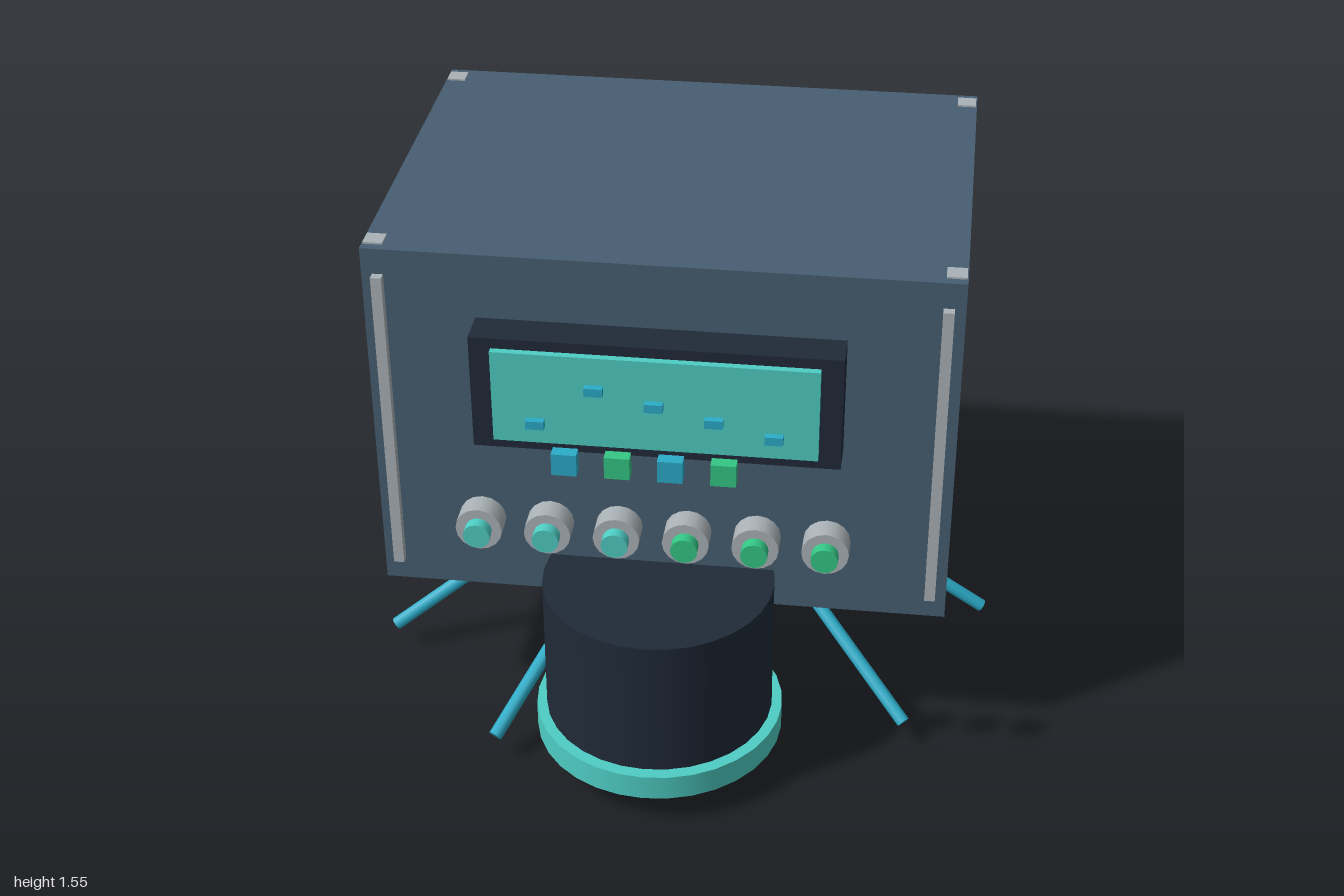
import * as THREE from 'three';

const paint = (name, color) => {
  const m = new THREE.MeshStandardMaterial({ color });
  m.name = name;
  return m;
};

export function createModel() {
  const model = new THREE.Group();
  model.name = 'consoleRobot';

  const slate = paint('slate', 0x475f72);
  const dark = paint('dark navy', 0x202a38);
  const teal = paint('teal', 0x4ecdc4);
  const cyan = paint('cyan blue', 0x2bacc8);
  const blue = paint('lens blue', 0x529fca);
  const green = paint('green', 0x34c785);
  const grey = paint('grey', 0xaab2b7);

  const add = (name, geometry, material, x, y, z) => {
    const mesh = new THREE.Mesh(geometry, material);
    mesh.name = name;
    mesh.position.set(x, y, z);
    model.add(mesh);
    return mesh;
  };
  const box = (name, mat, w, h, d, x, y, z) =>
    add(name, new THREE.BoxGeometry(w, h, d), mat, x, y, z);
  const drum = (name, mat, r, h, x, y, z, sides = 32) =>
    add(name, new THREE.CylinderGeometry(r, r, h, sides), mat, x, y, z);

  const cx = -0.03, cz = -0.07; // centre of the cabinet
  const front = 0.515;          // plane of its front face

  // Cabinet with corner plates on top and trim bars on the front
  box('cabinet', slate, 1.61, 1.075, 1.17, cx, 1.0125, cz);
  for (const side of [-1, 1]) {
    box('trimBar', grey, 0.03, 0.93, 0.026, cx + side * 0.76, 1.01, front + 0.012);
    for (const end of [-1, 1])
      box('cornerPlate', grey, 0.054, 0.009, 0.054, cx + side * 0.775, 1.5505, cz + end * 0.532);
  }

  // Display with its frame and small marks
  box('displayFrame', dark, 1.0, 0.34, 0.105, cx, 1.19, front + 0.0525);
  box('displayScreen', teal, 0.88, 0.275, 0.02, cx, 1.1925, 0.63);
  [1.12, 1.235, 1.197, 1.16, 1.12].forEach((y, i) =>
    box('displayMark', cyan, 0.05, 0.025, 0.02, cx + (i - 2) * 0.161, y, 0.65));

  // Floating blocks in front of the display
  for (let i = 0; i < 4; i++)
    box('floatingBlock', i % 2 ? green : cyan, 0.065, 0.062, 0.034, -0.21 + i * 0.135, 1.229, 0.983);

  // Row of knobs with coloured caps
  for (let i = 0; i < 6; i++) {
    const x = -0.54 + i * 0.195;
    drum('knobBase', grey, 0.066, 0.07, x, 0.712, 0.55, 16).rotation.x = Math.PI / 2;
    drum('knobCap', i < 3 ? teal : green, 0.038, 0.04, x, 0.712, 0.6, 16).rotation.x = Math.PI / 2;
  }

  // Scanner head below the front panel
  drum('scannerDrum', dark, 0.327, 0.423, cx, 0.383, 0.59);
  drum('scannerRing', teal, 0.356, 0.076, cx, 0.128, 0.59);
  drum('scannerLens', blue, 0.216, 0.066, cx, 0.035, 0.59);

  // Nine rods splayed out evenly beneath the cabinet
  const up = new THREE.Vector3(0, 1, 0);
  for (let i = 0; i < 9; i++) {
    const a = (i * 2 * Math.PI) / 9;
    const at = (r, y) => new THREE.Vector3(cx + r * Math.cos(a), y, cz - r * Math.sin(a));
    const top = at(0.29, 0.502), tip = at(0.925, 0.087);
    const along = top.clone().sub(tip);
    const mid = top.clone().add(tip).multiplyScalar(0.5);
    drum('legRod', cyan, 0.02, along.length(), mid.x, mid.y, mid.z, 8)
      .quaternion.setFromUnitVectors(up, along.normalize());
  }

  return model;
}
